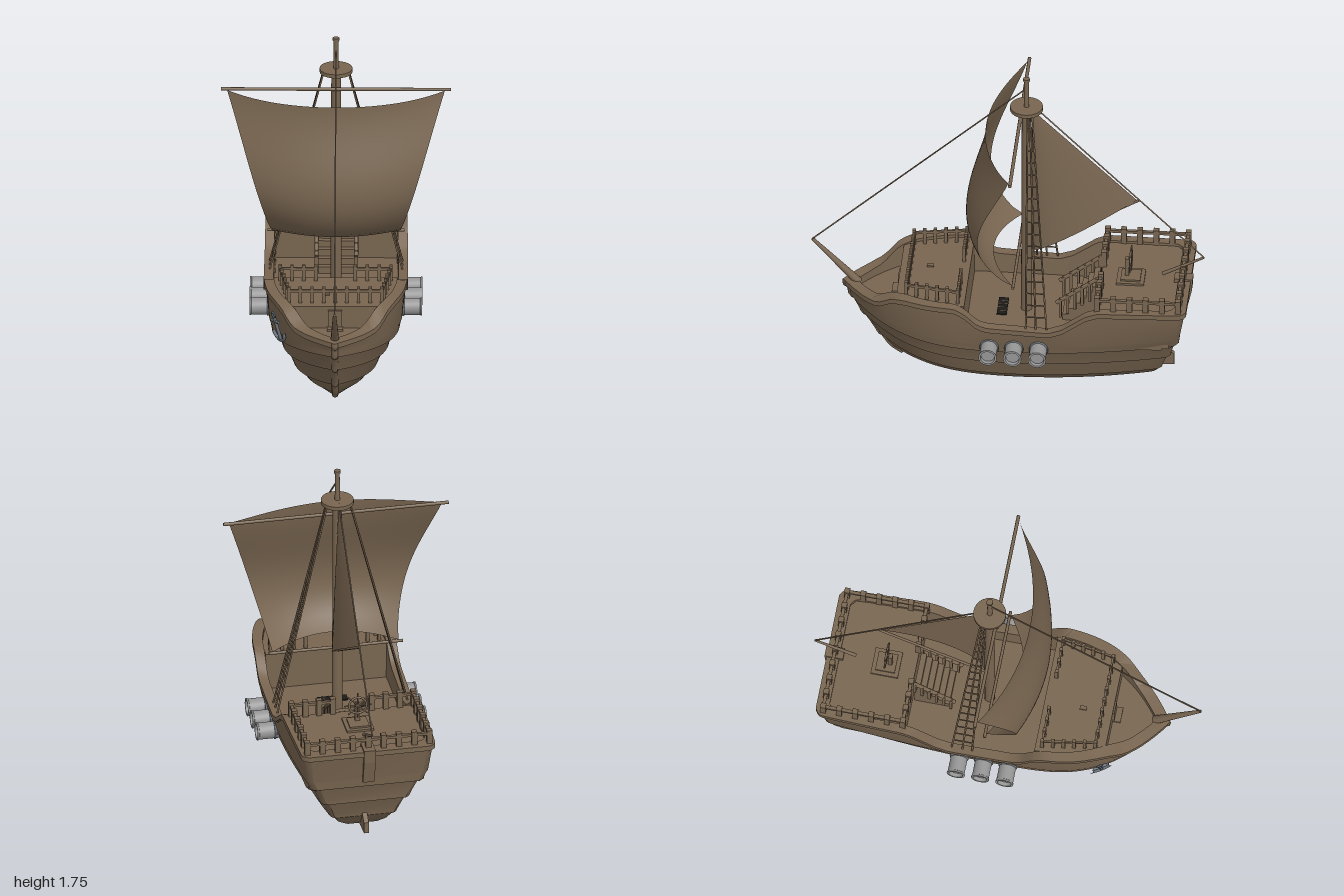
import * as THREE from 'three';
import { toCreasedNormals } from 'three/addons/utils/BufferGeometryUtils.js';

const V = (x, y, z) => new THREE.Vector3(x, y, z);
const lerp = THREE.MathUtils.lerp;

export function createModel() {
  const model = new THREE.Group();
  const mat = (name, color, side = THREE.FrontSide) => {
    const m = new THREE.MeshStandardMaterial({ color, side });
    m.name = name;
    return m;
  };
  const wood = mat('brown wood', 0x786550);
  const cloth = mat('brown cloth', 0x786550, THREE.DoubleSide);
  const metal = mat('grey metal', 0x969696);
  const iron = mat('dark iron', 0x687078);
  const black = mat('black', 0x1c1b1a);

  const add = (name, geo, m = wood, pos = [0, 0, 0], parent = model) => {
    const mesh = new THREE.Mesh(geo, m);
    mesh.name = name;
    mesh.position.set(...pos);
    parent.add(mesh);
    return mesh;
  };
  const group = (name) => {
    const g = new THREE.Group();
    g.name = name;
    model.add(g);
    return g;
  };
  const box = (name, w, h, d, x, y, z, m = wood, parent = model) =>
    add(name, new THREE.BoxGeometry(w, h, d), m, [x, y, z], parent);
  // Round bar between two points
  const rod = (name, a, b, r1, r2 = r1, m = wood, parent = model, sides = 8) => {
    const d = b.clone().sub(a);
    const mesh = add(name, new THREE.CylinderGeometry(r2, r1, d.length(), sides), m,
      a.clone().lerp(b, 0.5).toArray(), parent);
    mesh.quaternion.setFromUnitVectors(V(0, 1, 0), d.normalize());
    return mesh;
  };
  // Surface over a grid, fn(i, j) gives a point
  const grid = (fn, ni, nj) => {
    const pos = [], idx = [];
    for (let i = 0; i <= ni; i++) for (let j = 0; j <= nj; j++) {
      pos.push(...fn(i, j));
      if (i < ni && j < nj) {
        const a = i * (nj + 1) + j, b = a + nj + 1;
        idx.push(a, b, a + 1, b, b + 1, a + 1);
      }
    }
    const g = new THREE.BufferGeometry();
    g.setAttribute('position', new THREE.Float32BufferAttribute(pos, 3));
    g.setIndex(idx);
    g.computeVertexNormals();
    return g;
  };
  // Side outline of (z, y) points, extruded across x
  const slab = (name, pts, width) => {
    const s = new THREE.Shape(pts.map(([z, y]) => new THREE.Vector2(z, y)));
    const g = new THREE.ExtrudeGeometry(s, { depth: width, bevelEnabled: false });
    g.rotateY(-Math.PI / 2).translate(width / 2, 0, 0);
    return add(name, g);
  };

  // Hull: stacked waterlines, stepped at each strake
  const top = [[-1, .59], [-.48, .585], [-.42, .565], [-.3, .48], [-.23, .455], [.08, .47], [.13, .485],
    [.2, .55], [.25, .575], [.5, .575], [.57, .56], [.65, .495], [.72, .485], [1, .485]];
  const sheer = (z) => {
    const k = top.findIndex((p) => p[0] >= z);
    const [a, b] = [top[k - 1], top[k]];
    return lerp(a[1], b[1], (z - a[0]) / (b[0] - a[0]));
  };
  // Plan outline with rounded stern corners
  const plan = (t, stern) => t > .58
    ? 1 - ((t - .58) / .42) ** 3
    : (1 - (1 - stern) * ((.58 - t) / .58) ** 2) * (1 - .1 * Math.max(0, 1 - t / .025) ** 2.5);
  // [half width, y amidships, y bow, y stern, z stern, z bow, stern fullness]; y null follows the sheer
  const rows = [
    [0, .005, .045, .055, -.68, .48, 1], [.11, .022, .065, .07, -.73, .55, .75], [.168, .052, .11, .1, -.76, .61, .75],
    [.203, .095, .17, .14, -.785, .652, .75], [.219, .1, .175, .145, -.79, .664, .76], [.228, .125, .2, .17, -.795, .677, .78],
    [.253, .2, .29, .25, -.825, .735, .82], [.274, .205, .295, .255, -.84, .747, .82], [.28, .23, .32, .28, -.842, .757, .84],
    [.307, .3, .39, .365, -.868, .795, .88], [.328, .305, .395, .37, -.885, .808, .88], [.333, .335, .42, .4, -.888, .814, .9],
    [.34, .36, .435, .42, -.89, .816, .92], [.352, null, -.03, 0, -.915, .83, .94],
    [.365, null, -.027, 0, -.925, .84, .94], [.365, null, 0, 0, -.925, .84, .94],
    [.315, null, 0, 0, -.86, .77, .96], [.31, .35, .35, .35, -.86, .77, .96]];
  const N = 80;
  const hullPoint = (i, j) => {
    const [w, mid, bow, stern, z0, z1, full] = rows[i];
    const side = j <= N || j > 2 * N + 1 ? 1 : -1;
    const t = ((j > 2 * N + 1 ? 0 : j <= N ? j : 2 * N + 1 - j) / N) ** 1.35;
    const z = lerp(z0, z1, t), g = (2 * t - 1) ** 2;
    const y = mid === null ? sheer(z) + bow : lerp(mid, t > .5 ? bow : stern, g);
    return [side * w * plan(t, full), y, z];
  };
  add('hull', toCreasedNormals(grid(hullPoint, rows.length - 1, 2 * N + 2), .5));

  // Stem, stern plate and rudder
  const stem = rows.slice(1, 16).map((r) => V(0, r[1] === null ? .485 + r[2] : r[2], r[5] - .014));
  add('stem', new THREE.TubeGeometry(new THREE.CatmullRomCurve3(stem), 40, .017, 8));
  slab('sternPlate', [[-.84, .6], [-.935, .6], [-.93, .53], [-.9, .4], [-.88, .4], [-.9, .58], [-.84, .58]], .06);
  slab('rudder', [[-.68, .06], [-.84, .07], [-.84, .13], [-.79, .165], [-.74, .17]], .025);

  // Decks, cut to the inside of the bulwark
  const deck = (name, z0, z1, y, depth) => {
    const edge = [];
    for (let k = 0; k <= 16; k++) {
      const z = lerp(z0, z1, k / 16);
      edge.push([.313 * plan((z + .86) / 1.63, .96), z]);
    }
    const s = new THREE.Shape([...edge, ...edge.slice().reverse().map(([x, z]) => [-x, z])]
      .map(([x, z]) => new THREE.Vector2(x, z)));
    add(name, new THREE.ExtrudeGeometry(s, { depth, bevelEnabled: false }).rotateX(Math.PI / 2), wood, [0, y, 0]);
  };
  deck('mainDeck', -.8, .55, .36, .015);
  deck('foreDeck', .2, .55, .56, .2);
  deck('aftDeck', -.86, -.47, .575, .22);
  deck('bowDeck', .5, .76, .44, .05);
  box('foreDoor', .07, .1, .012, 0, .49, .552);
  box('foreDoorStep', .08, .01, .04, 0, .445, .57);
  box('hatchBase', .14, .012, .14, 0, .58, -.62);
  box('hatchLid', .1, .02, .1, 0, .585, -.62);
  box('foreHatch', .02, .01, .035, -.04, .563, .4);

  // Deck grating
  box('gratingHole', .15, .006, .05, 0, .364, .03, black);
  for (let k = 0; k < 4; k++) box('gratingBar', .003, .004, .05, -.045 + k * .03, .367, .03);

  // Stairs to the aft deck
  const stairs = group('stairs');
  for (let k = 0; k < 6; k++) {
    const h = .035 * (k + 1);
    box('step', .18, h, .03, 0, .36 + h / 2, -.295 - k * .03, wood, stairs);
  }
  for (const s of [-1, 1]) {
    rod('handrail', V(s * .1, .47, -.25), V(s * .1, .635, -.47), .011, .011, wood, stairs);
    for (let k = 0; k < 6; k++) {
      const y = .49 + k * .027;
      box('stairPost', .02, .11, .014, s * .1, y - .05, -.27 - k * .037, wood, stairs);
    }
  }

  // Railings: posts and a top rail along a path of (x, z) points
  const railing = (name, path, y0, y1, railY, size, gap) => {
    const g = group(name);
    for (let k = 0; k + 1 < path.length; k++) {
      const a = V(path[k][0], 0, path[k][1]), b = V(path[k + 1][0], 0, path[k + 1][1]);
      const n = Math.max(1, Math.round(a.distanceTo(b) / gap));
      for (let q = 0; q <= n; q++) {
        const p = a.clone().lerp(b, q / n);
        box('post', size, y1 - y0, size, p.x, (y0 + y1) / 2, p.z, wood, g);
      }
      const bar = box('rail', size * .6, .014, a.distanceTo(b), (a.x + b.x) / 2, railY, (a.z + b.z) / 2, wood, g);
      bar.rotation.y = Math.atan2(b.x - a.x, b.z - a.z);
    }
  };
  for (const s of [-1, 1]) {
    railing('aftRailing', [[s * .1, -.475], [s * .315, -.475], [s * .315, -.885], [0, -.885]], .57, .663, .642, .028, .08);
    railing('foreRailing', [[s * .1, .235], [s * .28, .235], [s * .235, .5], [0, .5]], .55, .645, .625, .017, .055);
  }

  // Steering wheel
  const wheel = group('steeringWheel');
  add('wheelRim', new THREE.TorusGeometry(.045, .006, 8, 24), wood, [0, .69, -.62], wheel);
  for (let k = 0; k < 4; k++) {
    const d = V(Math.cos(k * Math.PI / 4), Math.sin(k * Math.PI / 4), 0).multiplyScalar(.07), c = V(0, .69, -.62);
    rod('spoke', c.clone().sub(d), c.clone().add(d), .004, .004, wood, wheel);
  }
  box('wheelPost', .025, .11, .02, 0, .64, -.6, wood, wheel);

  // Mast, lookout, spars and stays
  rod('mast', V(0, .35, -.09), V(0, 1.58, -.09), .028, .024, wood, model, 16);
  rod('topmast', V(0, 1.57, -.09), V(0, 1.75, -.09), .014, .012, wood, model, 12);
  rod('mastCap', V(0, 1.745, -.09), V(0, 1.76, -.09), .017, .017, wood, model, 12);
  rod('lookout', V(0, 1.572, -.09), V(0, 1.592, -.09), .083, .083, wood, model, 32);
  rod('upperYard', V(-.58, 1.49, -.055), V(.58, 1.49, -.055), .009);
  rod('lowerYard', V(-.345, .71, -.05), V(.345, .71, -.05), .008);
  rod('bowsprit', V(0, .47, .76), V(0, .72, .995), .022, .008, wood, model, 12);
  rod('sternSpar', V(0, .61, -.78), V(0, .72, -.99), .01, .006);
  rod('aftBoom', V(0, .72, -.1), V(0, 1.05, -.66), .007);
  rod('forestay', V(0, 1.7, -.09), V(0, .72, .995), .004, .004, wood, model, 6);
  rod('backstay', V(0, 1.59, -.13), V(0, .72, -.99), .004, .004, wood, model, 6);

  // Square sail, bellied forward and fullest below the middle
  add('mainSail', grid((i, j) => {
    const v = i / 24, u = j / 12 - 1, belly = 1 - u * u;
    const half = .325 + .225 * (1 - v) ** 1.12;
    const edge = -.045 + .17 * Math.max(0, Math.sin(Math.PI * v ** 1.5)) ** .75;
    const z = edge + (lerp(.16, .12, v) - .2 * v * (1 - v)) * belly;
    return [u * half, lerp(1.488 - .022 * (1 - u ** 4), .712 + .015 * belly, v), z];
  }, 24, 24), cloth);
  // Triangular aft sail
  add('aftSail', grid((i, j) => {
    const v = i / 16, u = j / 16;
    return [.15 * v * (1 - u) * Math.sqrt(u), 1.57 + v * lerp(-.85, -.52, u), -.12 + v * lerp(.01, -.53, u)];
  }, 16, 16), cloth);

  // Shrouds with rungs
  for (const s of [-1, 1]) {
    const g = group('shrouds');
    const ropes = [-.115, -.165, -.22].map((z, k) => [V(s * .06, 1.575, -.1 - k * .012), V(s * .335, .46, z)]);
    for (const [a, b] of ropes) rod('rope', a, b, .005, .005, wood, g, 6);
    for (let k = 1; k < 18; k++) {
      const [a, b] = [ropes[0], ropes[2]].map((r) => r[0].clone().lerp(r[1], k / 18));
      rod('rung', a, b, .004, .004, wood, g, 5);
    }
  }

  // Cannons, three a side
  const barrel = [[.043, 0], [.043, .11], [.046, .112], [.046, .12], [.036, .12], [.034, .1], [0, .1]]
    .map(([r, y]) => new THREE.Vector2(r, y));
  const barrelGeo = toCreasedNormals(new THREE.LatheGeometry(barrel, 24), .6);
  for (const s of [-1, 1]) for (const z of [.07, -.055, -.18]) {
    add('cannon', barrelGeo, metal, [s * .316, .34, z]).rotation.z = -s * Math.PI / 2;
    add('cannonRing', new THREE.TorusGeometry(.043, .006, 8, 24), iron, [s * .342, .34, z]).rotation.y = Math.PI / 2;
  }

  // Anchor lying on the right bow
  const anchor = group('anchor');
  rod('shank', V(0, -.07, 0), V(0, .065, 0), .009, .009, iron, anchor);
  rod('stock', V(-.035, .038, 0), V(.035, .038, 0), .008, .008, iron, anchor);
  add('arms', new THREE.TorusGeometry(.052, .009, 8, 16, Math.PI), iron, [0, -.018, 0], anchor).rotation.z = Math.PI;
  add('ring', new THREE.TorusGeometry(.014, .005, 6, 16), iron, [0, .075, 0], anchor);
  anchor.position.set(-.292, .435, .538);
  anchor.rotation.set(.22, -1.0, .15, 'YXZ');
  return model;
}
